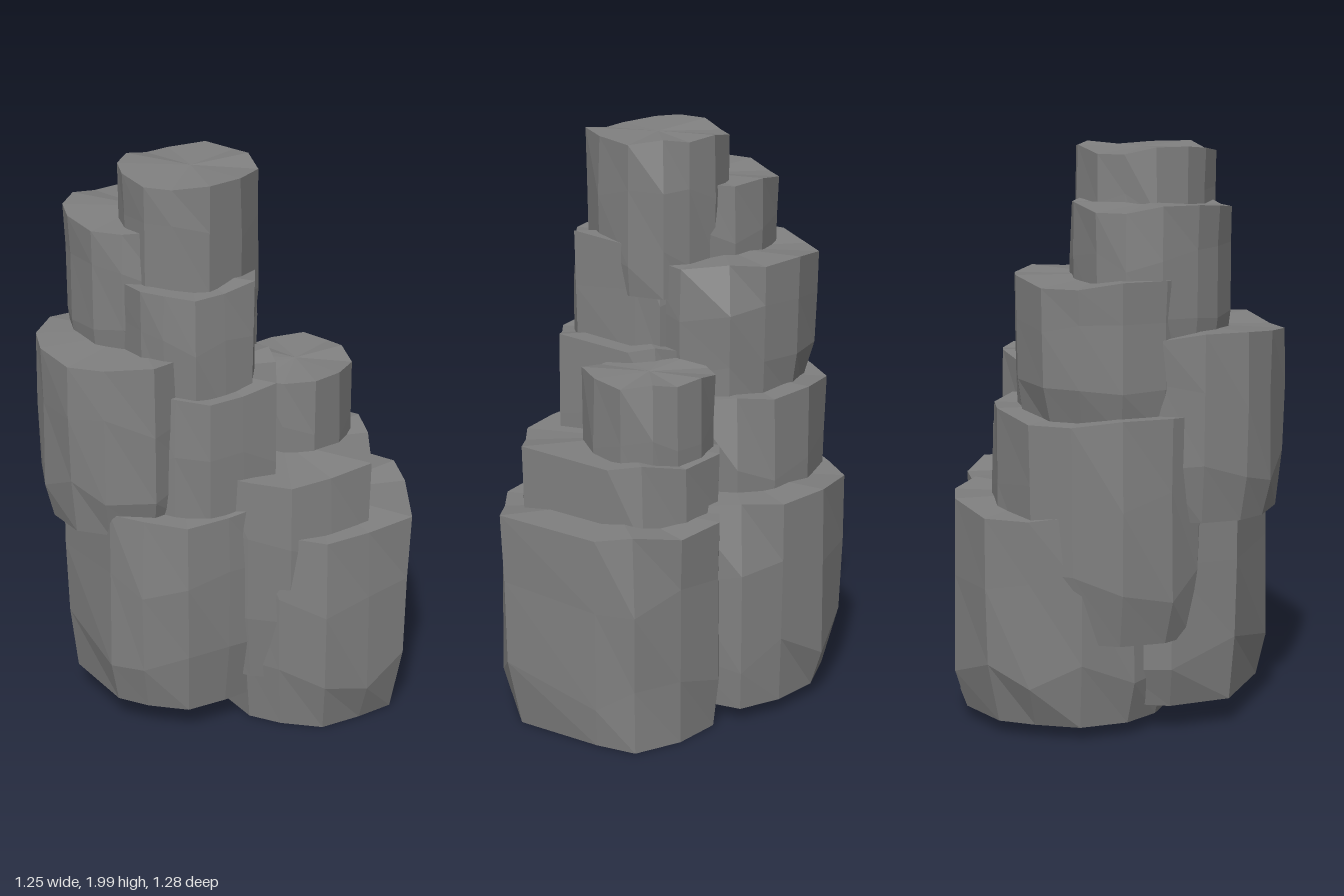
import * as THREE from 'three';

// Unit outlines running left -> back -> right -> front.
// Each corner: x, z, scale at the foot, scale at the rim, lift of the rim
const POINTED = [
  [-1, 0.05, 0.92, 0.97, 0], [-0.81, -0.68, 0.94, 0.98, 0.005], [-0.43, -0.91, 0.97, 0.98, -0.01],
  [0, -1, 1, 0.92, 0.015], [0.3, -0.81, 0.97, 0.99, -0.005], [1, -0.28, 0.85, 1, 0.03],
  [0.95, 0.12, 0.88, 0.95, 0], [0.87, 0.53, 0.9, 0.95, -0.01], [0.57, 0.82, 0.9, 0.94, 0],
  [0.28, 0.98, 0.91, 0.97, 0.005], [-0.5, 0.96, 0.91, 0.98, 0], [-0.93, 0.5, 0.89, 0.98, -0.005]];
const ROUND = [
  [-1, -0.28, 0.84, 0.99, -0.01], [-0.68, -0.71, 0.9, 0.98, 0.012], [-0.26, -0.92, 0.95, 0.97, 0],
  [0.14, -1, 0.98, 0.87, 0.01], [0.6, -0.72, 0.95, 0.98, -0.01], [0.92, -0.2, 0.9, 0.97, 0],
  [1, 0.37, 0.88, 0.99, 0.005], [0.66, 0.77, 0.9, 0.94, -0.015], [0.33, 1, 0.91, 0.97, -0.012],
  [-0.18, 1, 0.91, 0.99, 0.005], [-0.52, 0.86, 0.9, 0.99, 0.014], [-0.84, 0.52, 0.88, 0.98, 0.014],
  [-0.97, 0.1, 0.84, 0.99, -0.01]];

// Height fractions of the rings
const RINGS = [0, 0.25, 0.68, 1];

// name, outline, x range, z range, y range
const COLUMNS = [
  ['backRightBase', POINTED, -0.18, 0.625, -0.64, 0.165, 0.01, 0.77],
  ['backRightStep', POINTED, -0.2, 0.53, -0.51, 0.24, 0.2, 0.97],
  ['backRightTop', ROUND, -0.13, 0.31, -0.46, -0.03, 0.6, 1.24],
  ['backLeftBase', ROUND, -0.63, 0.16, -0.5, 0.32, 0.06, 0.8],
  ['frontBase', POINTED, -0.41, 0.38, -0.2, 0.565, 0.11, 0.85],
  ['leftStep', ROUND, -0.6, 0.1, -0.34, 0.45, 0.36, 1.125],
  ['frontStep', ROUND, -0.425, 0.21, -0.03, 0.645, 0.77, 1.4],
  ['rightStep', POINTED, -0.25, 0.35, -0.18, 0.42, 0.6, 1.275],
  ['leftUpper', ROUND, -0.57, 0.1, -0.26, 0.41, 1.08, 1.575],
  ['rightUpper', POINTED, -0.24, 0.285, -0.11, 0.42, 1.1, 1.63],
  ['leftPeak', ROUND, -0.46, 0.09, -0.07, 0.48, 1.3, 1.815],
  ['summit', ROUND, -0.26, 0.22, -0.125, 0.37, 1.45, 1.986],
];

// Small repeatable wobble in -1..1
const wobble = (i, j) => Math.sin(i * i * 12.9 + j * 7.3 + 1.7);

// Chipped stone column: stacked rings closed by a flat base and an uneven top
function columnGeometry(seed, outline, x0, x1, z0, z1, y0, y1) {
  const n = outline.length, h = y1 - y0;
  const cx = (x0 + x1) / 2, cz = (z0 + z1) / 2;
  const pos = [], idx = [];
  RINGS.forEach((t, r) => outline.forEach(([u, v, foot, rim, lift], i) => {
    let k = 0.985 + 0.02 * wobble(i + seed, r);
    let y = y0 + h * t;
    if (r === 0) k = foot;
    else if (t === 1) {
      k = rim;
      y += lift;
    } else y += 0.07 * h * wobble(i + seed, r + 3);
    pos.push(cx + u * k * (x1 - x0) / 2, y, cz + v * k * (z1 - z0) / 2);
  }));
  const last = RINGS.length - 1, bottom = RINGS.length * n, top = bottom + 1;
  pos.push(cx, y0, cz, cx, y1, cz);
  for (let i = 0; i < n; i++) {
    const j = (i + 1) % n;
    for (let r = 0; r < last; r++) {
      const a = r * n + i, b = r * n + j;
      idx.push(a, a + n, b + n, a, b + n, b);
    }
    idx.push(bottom, i, j, top, last * n + j, last * n + i);
  }
  const indexed = new THREE.BufferGeometry();
  indexed.setAttribute('position', new THREE.Float32BufferAttribute(pos, 3));
  indexed.setIndex(idx);
  const geometry = indexed.toNonIndexed();
  geometry.computeVertexNormals();
  return geometry;
}

export function createModel() {
  const group = new THREE.Group();
  group.name = 'rockStack';
  const stone = new THREE.MeshStandardMaterial({ color: 0x7f7f7f, flatShading: true });
  COLUMNS.forEach(([name, ...spec], seed) => {
    const mesh = new THREE.Mesh(columnGeometry(seed, ...spec), stone);
    mesh.name = name;
    group.add(mesh);
  });
  return group;
}
